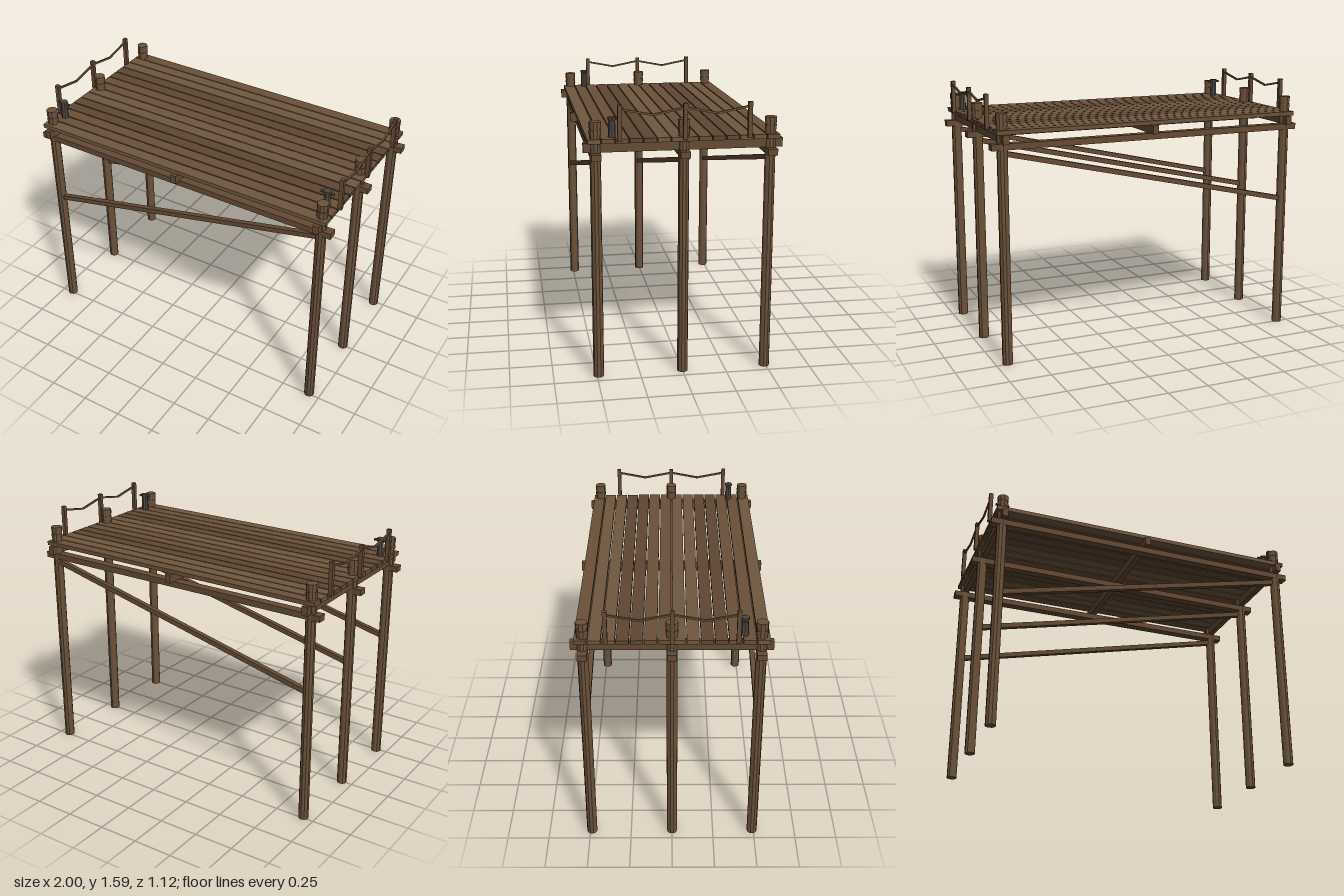
import * as THREE from 'three';

const wood = (color) => new THREE.MeshStandardMaterial({ color, flatShading: true });
const pileWood = wood(0x6b523a);
const beamWood = wood(0x654b34);
const plankWoods = [wood(0x6a5038), wood(0x5f4833), wood(0x705840)];
const iron = wood(0x4e4841);

function add(parent, name, geometry, material, x, y, z) {
  const mesh = new THREE.Mesh(geometry, material);
  mesh.name = name;
  mesh.position.set(x, y, z);
  parent.add(mesh);
  return mesh;
}

// Square bar running between two points
function bar(parent, name, a, b, height, width, material) {
  const dir = b.clone().sub(a);
  const mid = a.clone().add(b).multiplyScalar(0.5);
  const mesh = add(parent, name, new THREE.BoxGeometry(width, height, dir.length()), material, mid.x, mid.y, mid.z);
  mesh.lookAt(b);
  return mesh;
}

export function createModel() {
  const dock = new THREE.Group();
  dock.name = 'dock';
  const pileX = 0.93, rows = [-0.49, 0, 0.49], sides = [-1, 1];

  for (const z of rows) {
    // Piles with two bands around each head
    for (const s of sides) {
      const pile = new THREE.Group();
      pile.name = 'pile';
      pile.position.set(s * pileX, 0, z);
      add(pile, 'pileShaft', new THREE.CylinderGeometry(0.031, 0.031, 1.49, 10), pileWood, 0, 0.745, 0);
      add(pile, 'pileCap', new THREE.CylinderGeometry(0.034, 0.034, 0.035, 10), pileWood, 0, 1.4745, 0);
      add(pile, 'pileBand', new THREE.CylinderGeometry(0.034, 0.034, 0.025, 10), pileWood, 0, 1.433, 0);
      dock.add(pile);
    }
    // Long beam and diagonal brace of each row
    add(dock, 'longBeam', new THREE.BoxGeometry(2, 0.037, 0.055), beamWood, 0, 1.302, z);
    bar(dock, 'diagonalBrace', new THREE.Vector3(-pileX, 0.832, z), new THREE.Vector3(pileX, 1.264, z), 0.03, 0.03, beamWood);
  }

  // Cross beams under the deck
  for (const x of [-0.925, 0, 0.925]) {
    add(dock, 'crossBeam', new THREE.BoxGeometry(0.036, 0.053, 1.115), beamWood, x, 1.347, 0);
  }

  // Deck planks
  const count = 14, pitch = 0.0769;
  for (let i = 0; i < count; i++) {
    const z = (i - (count - 1) / 2) * pitch;
    add(dock, 'plank', new THREE.BoxGeometry(1.945, 0.025, 0.07), plankWoods[(i * 5 + (i >> 1)) % 3], 0, 1.386, z);
  }

  // End railings: three posts joined by sagging rope
  const postZ = [-0.36, 0, 0.36];
  for (const s of sides) {
    const rail = new THREE.Group();
    rail.name = 'railing';
    const x = s * 0.977;
    for (const z of postZ) {
      add(rail, 'railPost', new THREE.BoxGeometry(0.024, 0.2, 0.024), beamWood, x, 1.486, z);
    }
    for (let i = 0; i < 2; i++) {
      const a = new THREE.Vector3(x, 1.562, postZ[i]);
      const b = new THREE.Vector3(x, 1.562, postZ[i + 1]);
      const low = new THREE.Vector3(x, 1.527, (a.z + b.z) / 2);
      bar(rail, 'rope', a, low, 0.011, 0.011, pileWood);
      bar(rail, 'rope', low, b, 0.011, 0.011, pileWood);
    }
    dock.add(rail);

    // Mooring bollard with a tapered crossbar
    const bollard = new THREE.Group();
    bollard.name = 'bollard';
    bollard.position.set(s * 0.91, 1.398, 0.396);
    add(bollard, 'bollardPost', new THREE.CylinderGeometry(0.019, 0.022, 0.108, 8), iron, 0, 0.054, 0);
    add(bollard, 'bollardCap', new THREE.CylinderGeometry(0.024, 0.024, 0.014, 8), iron, 0, 0.105, 0);
    add(bollard, 'bollardBar', new THREE.CylinderGeometry(0.008, 0.008, 0.084, 6), iron, 0, 0.097, 0).rotation.z = Math.PI / 2;
    dock.add(bollard);
  }
  return dock;
}
